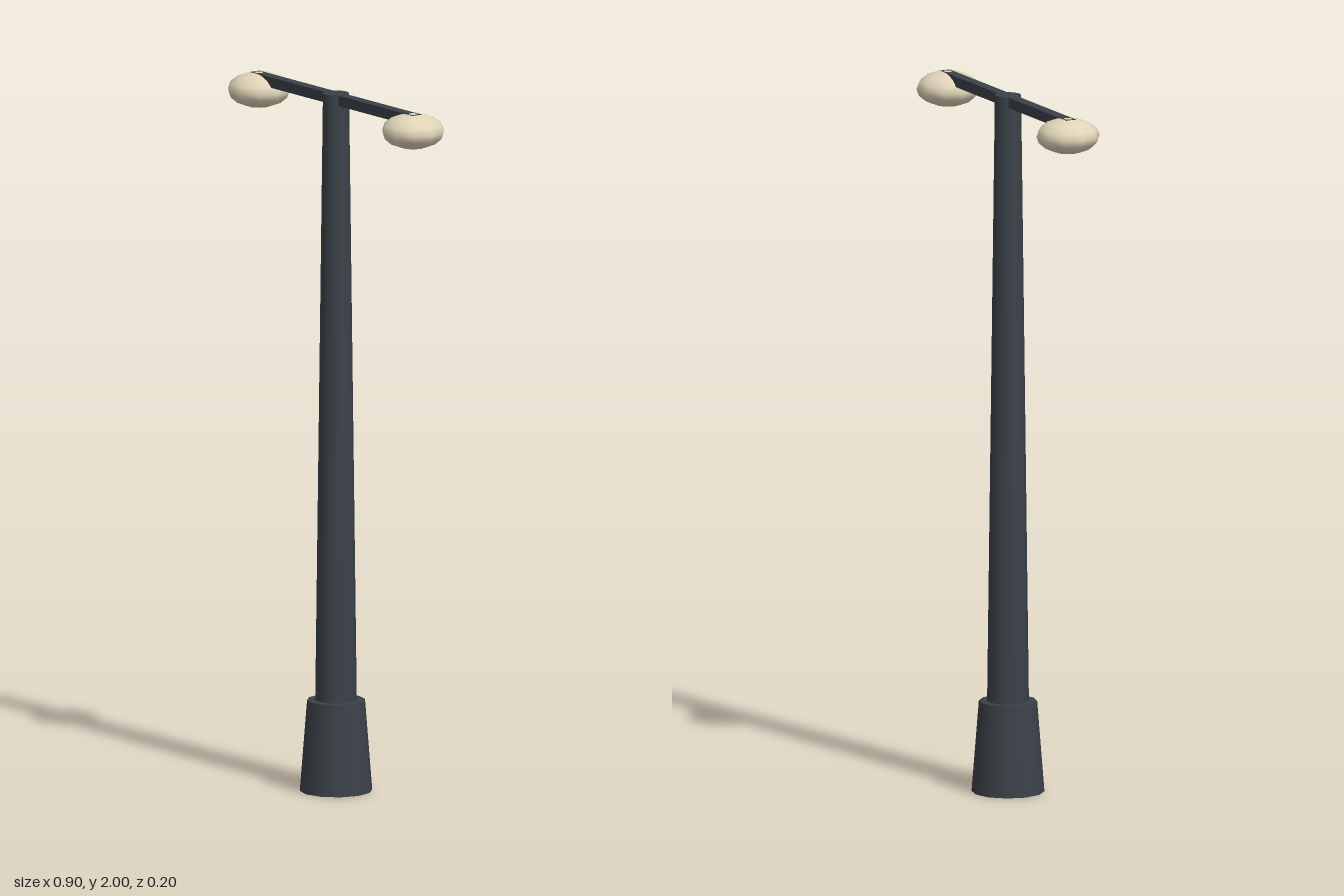
import * as THREE from 'three';

export function createModel() {
  const model = new THREE.Group();
  model.name = 'streetLamp';

  const darkMetal = new THREE.MeshStandardMaterial({ color: 0x3b4248 });
  darkMetal.name = 'dark metal';
  const lampGlass = new THREE.MeshStandardMaterial({ color: 0xe0d4b8 });
  lampGlass.name = 'cream glass';

  function add(name, geometry, material, x, y) {
    const mesh = new THREE.Mesh(geometry, material);
    mesh.name = name;
    mesh.position.set(x, y, 0);
    model.add(mesh);
    return mesh;
  }

  // Tapered foot and pole
  add('base', new THREE.CylinderGeometry(0.082, 0.1025, 0.26, 12), darkMetal, 0, 0.13);
  add('pole', new THREE.CylinderGeometry(0.037, 0.062, 1.999, 12), darkMetal, 0, 0.9995);

  // Cross arm
  add('crossArm', new THREE.BoxGeometry(0.76, 0.03, 0.031), darkMetal, 0, 1.9836);

  // Flattened lamp globes, just breaking through the top of the arm
  for (const side of [1, -1]) {
    const geometry = new THREE.SphereGeometry(0.09, 10, 8).scale(1, 0.555, 1);
    add(side > 0 ? 'leftLamp' : 'rightLamp', geometry, lampGlass, side * 0.362, 1.95);
  }

  return model;
}
